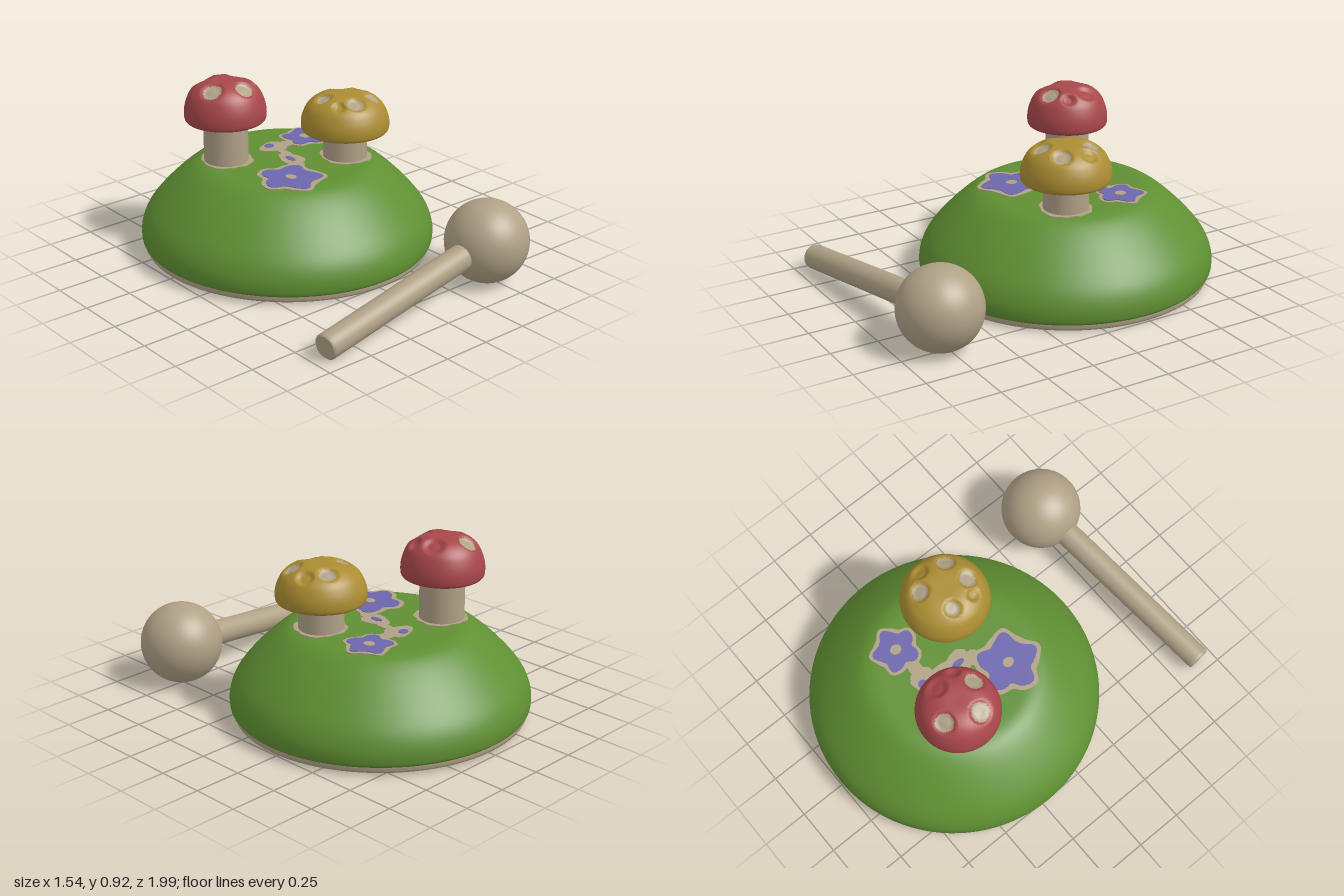
import * as THREE from 'three';
import { mergeVertices } from 'three/addons/utils/BufferGeometryUtils.js';

const mat = (name, color) => {
  const m = new THREE.MeshStandardMaterial({ color });
  m.name = name;
  return m;
};

export function createModel() {
  const wood = mat('bare wood', 0xb0a186);
  const green = mat('grass green', 0x5f8f32);
  const red = mat('cap red', 0xa8474a);
  const yellow = mat('cap yellow', 0xab8c32);
  const purple = mat('petal purple', 0x6c66ac);

  const root = new THREE.Group();
  root.name = 'mushroomMoundWithMallet';
  const add = (parent, name, geo, material, x = 0, y = 0, z = 0) => {
    const mesh = new THREE.Mesh(geo, material);
    mesh.name = name;
    mesh.position.set(x, y, z);
    parent.add(mesh);
    return mesh;
  };
  const vec = ([x, y]) => new THREE.Vector2(x, y);

  // Mound: wooden base lip, green dome and flat top, leaning very slightly
  const CZ = -0.23, TOP = 0.473;
  const mound = new THREE.Group();
  mound.name = 'mound';
  mound.position.set(0, 0.014, CZ);
  mound.rotation.set(0.006, 0, -0.007);
  root.add(mound);
  add(mound, 'moundBase', new THREE.LatheGeometry(
    [[0, 0], [0.735, 0], [0.735, 0], [0.752, 0.007], [0.758, 0.02], [0.758, 0.042]].map(vec), 96), wood);
  const dome = new THREE.SplineCurve([
    [0.757, 0.036], [0.77, 0.055], [0.768, 0.12], [0.735, 0.2], [0.66, 0.293],
    [0.56, 0.39], [0.48, 0.449], [0.42, TOP - 0.003], [0.36, TOP]].map(vec)).getPoints(36);
  add(mound, 'moundGrass', new THREE.LatheGeometry([...dome, vec([0, TOP])], 96), green);

  // Thin plate with a wavy outline, lying on the mound top (x, z in model space)
  function plate(name, material, x, z, rx, rz, lift, lobes = 0, wave = 0, phase = 0) {
    const pts = [];
    for (let i = 0; i < 80; i++) {
      const a = (i / 80) * Math.PI * 2;
      const k = 1 - wave + wave * Math.cos(lobes * (a - phase)) + 0.02 * Math.sin(11 * a + x * 30);
      pts.push(vec([rx * k * Math.cos(a), rz * k * Math.sin(a)]));
    }
    const geo = new THREE.ExtrudeGeometry(new THREE.Shape(pts), { depth: 0.006, bevelEnabled: false });
    geo.rotateX(-Math.PI / 2);
    add(mound, name, geo, material, x, TOP - 0.003 + lift, z - CZ);
  }

  // Flowers with a bare edge and a bare centre
  function flower(name, x, z, r, phase) {
    plate(name + 'Edge', wood, x, z, r * 1.14, r * 1.14, 0, 5, 0.1, phase);
    plate(name + 'Petals', purple, x, z, r, r, 0.003, 5, 0.14, phase);
    plate(name + 'Centre', wood, x, z, 0.026, 0.03, 0.006);
  }
  flower('largeFlower', -0.165, 0, 0.163, 0.75);
  flower('smallFlower', 0.255, -0.4, 0.122, 1.2);

  // Worn patches with two buds between the flowers
  plate('patchBack', wood, 0.03, -0.39, 0.085, 0.07, 0, 3, 0.1, 1);
  plate('patchBackLink', wood, 0.11, -0.385, 0.07, 0.035, 0);
  plate('patchMiddle', wood, 0, -0.2, 0.065, 0.09, 0, 3, 0.1, 1.5);
  plate('patchMiddleLink', wood, 0.03, -0.3, 0.022, 0.07, 0);
  plate('patchFrontLink', wood, -0.03, -0.12, 0.045, 0.04, 0);
  plate('budBack', purple, 0.02, -0.41, 0.026, 0.024, 0.003);
  plate('budMiddle', purple, -0.005, -0.2, 0.016, 0.036, 0.003);

  // Split triangles into material groups by centroid
  function paint(geo, pick, count) {
    const p = geo.attributes.position, idx = geo.index.array;
    const lists = Array.from({ length: count }, () => []);
    const c = new THREE.Vector3(), v = new THREE.Vector3();
    for (let i = 0; i < idx.length; i += 3) {
      c.set(0, 0, 0);
      for (let j = 0; j < 3; j++) c.add(v.fromBufferAttribute(p, idx[i + j]));
      lists[pick(c.divideScalar(3))].push(idx[i], idx[i + 1], idx[i + 2]);
    }
    geo.setIndex(lists.flat());
    let start = 0;
    lists.forEach((l, m) => { geo.addGroup(start, l.length, m); start += l.length; });
  }

  // Hollow cap with pressed-in dents; painted dents are bare wood
  function capGeometry(R, H, dents) {
    const profile = new THREE.SplineCurve([
      [0.5, 0.3], [0.7, 0.24], [0.84, 0.04], [0.93, 0], [0.99, 0.08], [0.99, 0.3], [0.93, 0.53],
      [0.82, 0.74], [0.62, 0.91], [0.36, 0.995], [0, 1]].map(([x, y]) => vec([x * R, y * H]))).getPoints(70);
    profile[70].x = 0;
    let geo = new THREE.LatheGeometry(profile, 96);
    geo.deleteAttribute('uv');
    geo.deleteAttribute('normal');
    geo = mergeVertices(geo, 1e-5);
    geo.computeVertexNormals();
    const outer = profile.filter((q) => q.y > 0.3 * H);
    const spots = dents.map(([x, z, r, painted]) => {
      const d = Math.hypot(x, z);
      const q = outer.reduce((a, b) => (Math.abs(b.x - d) < Math.abs(a.x - d) ? b : a));
      return { at: new THREE.Vector3(x, q.y, z), r, painted };
    });
    const p = geo.attributes.position, n = geo.attributes.normal;
    const v = new THREE.Vector3(), m = new THREE.Vector3();
    for (let i = 0; i < p.count; i++) {
      v.fromBufferAttribute(p, i);
      m.fromBufferAttribute(n, i);
      let push = 0;
      for (const s of spots) {
        const t = 1 - (v.distanceTo(s.at) / (s.r * 1.25)) ** 2;
        if (t > 0 && m.y > -0.2) push = Math.max(push, 0.019 * Math.min(1, t * 1.5));
      }
      v.addScaledVector(m, -push);
      p.setXYZ(i, v.x, v.y, v.z);
    }
    geo.computeVertexNormals();
    paint(geo, (c) => {
      if (c.y < 0.32 * H && Math.hypot(c.x, c.z) < 0.7 * R) return 1;
      return spots.some((s) => s.painted && c.distanceTo(s.at) < s.r) ? 1 : 0;
    }, 2);
    return geo;
  }

  function mushroom(name, x, z, R, bottom, top, capMat, dents) {
    const g = new THREE.Group();
    g.name = name;
    g.position.set(x, 0, z);
    root.add(g);
    const y0 = 0.45, y1 = bottom + (top - bottom) * 0.4;
    add(g, 'stem', new THREE.CylinderGeometry(0.116, 0.116, y1 - y0, 48), wood, 0, (y0 + y1) / 2, 0);
    add(g, 'cap', capGeometry(R, top - bottom, dents), [capMat, wood], 0, bottom, 0);
    plate(name + 'Collar', wood, x, z, 0.14, 0.14, 0, 4, 0.04, 0.5);
  }
  // Each dent: x, z, radius, painted
  mushroom('redMushroom', -0.264, -0.405, 0.214, 0.715, 0.93, red, [
    [-0.048, -0.127, 0.05, true], [-0.12, 0.05, 0.052, true], [0.03, 0.13, 0.05, true],
    [0.117, -0.04, 0.048, false], [0.13, 0.075, 0.03, false]]);
  mushroom('yellowMushroom', 0.259, -0.065, 0.232, 0.632, 0.828, yellow, [
    [0.063, -0.11, 0.046, true], [-0.116, -0.04, 0.04, true], [-0.037, 0.125, 0.046, true],
    [0.11, 0.095, 0.046, true], [0.15, -0.04, 0.04, false], [-0.12, 0.09, 0.03, false]]);

  // Mallet resting in front: ball head and round handle
  const mallet = new THREE.Group();
  mallet.name = 'mallet';
  root.add(mallet);
  const head = new THREE.Vector3(0.478, 0.223, 0.776), tip = new THREE.Vector3(-0.697, 0.077, 0.902);
  add(mallet, 'malletHead', new THREE.SphereGeometry(0.216, 64, 40), wood, head.x, head.y, head.z);
  const dir = head.clone().sub(tip), len = dir.length();
  const mid = tip.clone().add(head).multiplyScalar(0.5);
  const handle = add(mallet, 'malletHandle', new THREE.LatheGeometry(
    [[0, 0], [0.058, 0], [0.058, 0], [0.066, 0.008], [0.066, 0.02], [0.068, len]]
      .map(([r, y]) => vec([r, y - len / 2])), 40), wood, mid.x, mid.y, mid.z);
  handle.quaternion.setFromUnitVectors(new THREE.Vector3(0, 1, 0), dir.normalize());

  return root;
}
